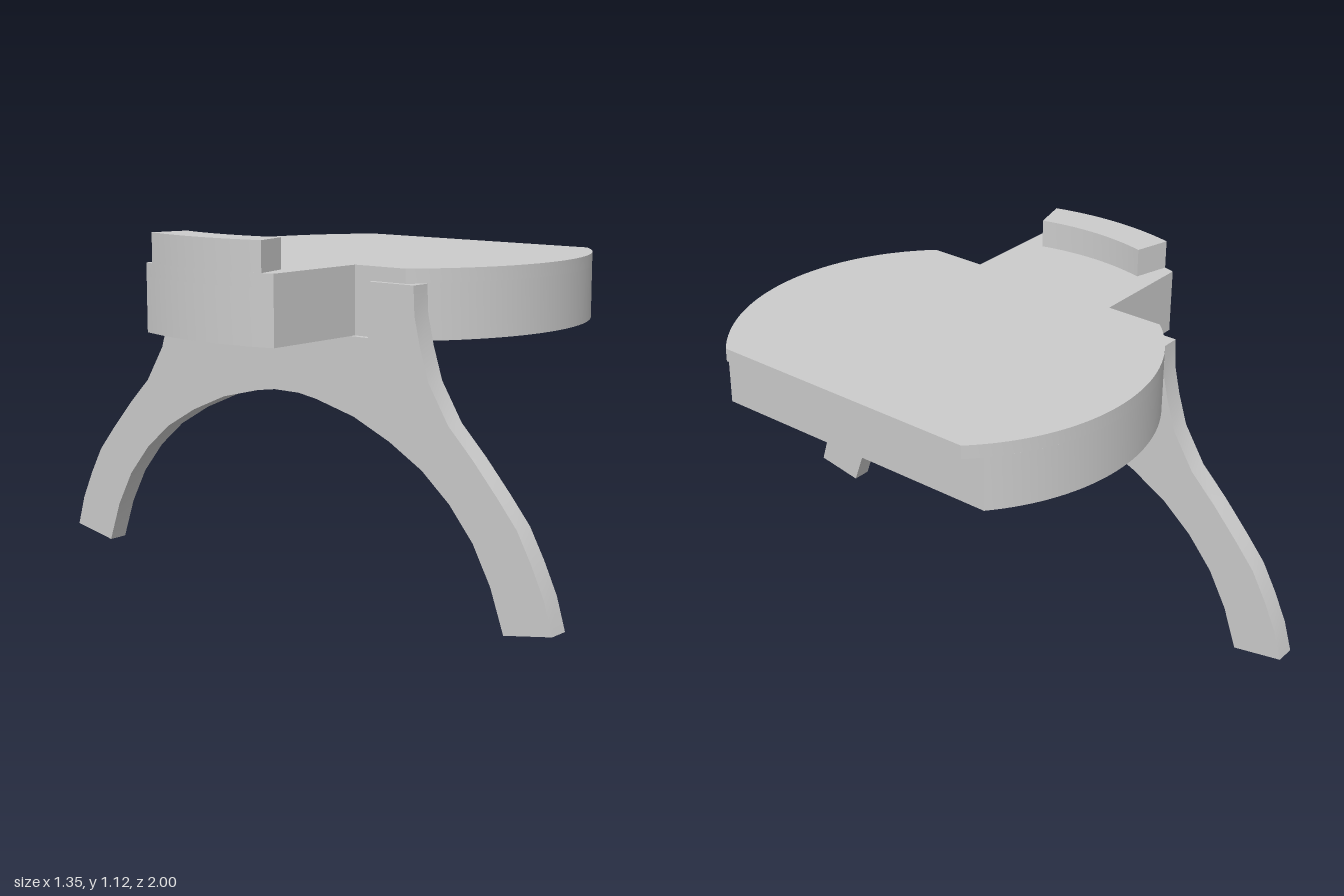
import * as THREE from 'three';
import { toCreasedNormals } from 'three/addons/utils/BufferGeometryUtils.js';

const CX = 0.2;       // shared centre of all plan arcs (x)
const R_DISC = 0.66;  // round body
const R_TAB = 0.875;  // outer edge of tab and block

const material = new THREE.MeshStandardMaterial({ color: 0xcccccc });

// Points on an arc about (CX, 0) in plan, from angle a to angle b
function arc(r, a, b, n) {
  return Array.from({ length: n + 1 }, (_, i) => {
    const t = a + (b - a) * i / n;
    return new THREE.Vector2(CX + r * Math.cos(t), r * Math.sin(t));
  });
}

// Plan outline (x, z) extruded between two heights
function slab(name, points, bottom, top) {
  const geo = new THREE.ExtrudeGeometry(new THREE.Shape(points), { depth: top - bottom, bevelEnabled: false });
  geo.rotateX(Math.PI / 2).translate(0, top, 0);
  const mesh = new THREE.Mesh(toCreasedNormals(geo, 0.3), material);
  mesh.name = name;
  return mesh;
}

// Clipped disc with a tab on the -x side; the +x side is cut flat at xCut
function plateOutline(xCut) {
  const cut = Math.acos((xCut - CX) / R_DISC);
  const shoulder = Math.acos((-0.28 - CX) / R_DISC);
  const tab = Math.asin(0.262 / R_TAB);
  return [
    ...arc(R_DISC, cut, shoulder, 48),
    new THREE.Vector2(-0.28, 0.262),
    ...arc(R_TAB, Math.PI - tab, Math.PI + tab, 16),
    new THREE.Vector2(-0.28, -0.262),
    ...arc(R_DISC, -shoulder, -cut, 48),
  ];
}

export function createModel() {
  const group = new THREE.Group();

  // Body, with a thin lip overhanging the flat side
  group.add(slab('body', plateOutline(0.63), 0.81, 0.98));
  group.add(slab('topPlateWithLip', plateOutline(0.675), 0.98, 1.022));

  // Curved stop block on the tab
  const h = 0.26;
  group.add(slab('stopBlock', [
    ...arc(R_TAB, Math.PI - h, Math.PI + h, 16),
    ...arc(0.755, Math.PI + h, Math.PI - h, 16),
  ], 1.022, 1.115));

  // Arched leg plate: half profile (z, y) from the slot, down the outside, up the inside
  const half = [
    [0.33, 0.81], [0.33, 0.978], [0.5, 0.978], [0.504, 0.89], [0.525, 0.8], [0.557, 0.7],
    [0.63, 0.583], [0.72, 0.493], [0.807, 0.396], [0.875, 0.315], [0.925, 0.225], [0.97, 0.13], [1, 0.03],
    [0.834, 0], [0.786, 0.134], [0.722, 0.251], [0.636, 0.353], [0.535, 0.438],
    [0.412, 0.508], [0.273, 0.567], [0.123, 0.604], [0.05, 0.615],
  ];
  const mirrored = half.map(([z, y]) => [-z, y]).reverse();
  const outline = [...half, ...mirrored].map(([z, y]) => new THREE.Vector2(z, y));
  const legGeo = new THREE.ExtrudeGeometry(new THREE.Shape(outline), { depth: 0.065, bevelEnabled: false });
  legGeo.rotateY(-Math.PI / 2).translate(-0.236, 0, 0);
  const legs = new THREE.Mesh(toCreasedNormals(legGeo, 0.4), material);
  legs.name = 'archedLegs';
  group.add(legs);

  return group;
}
